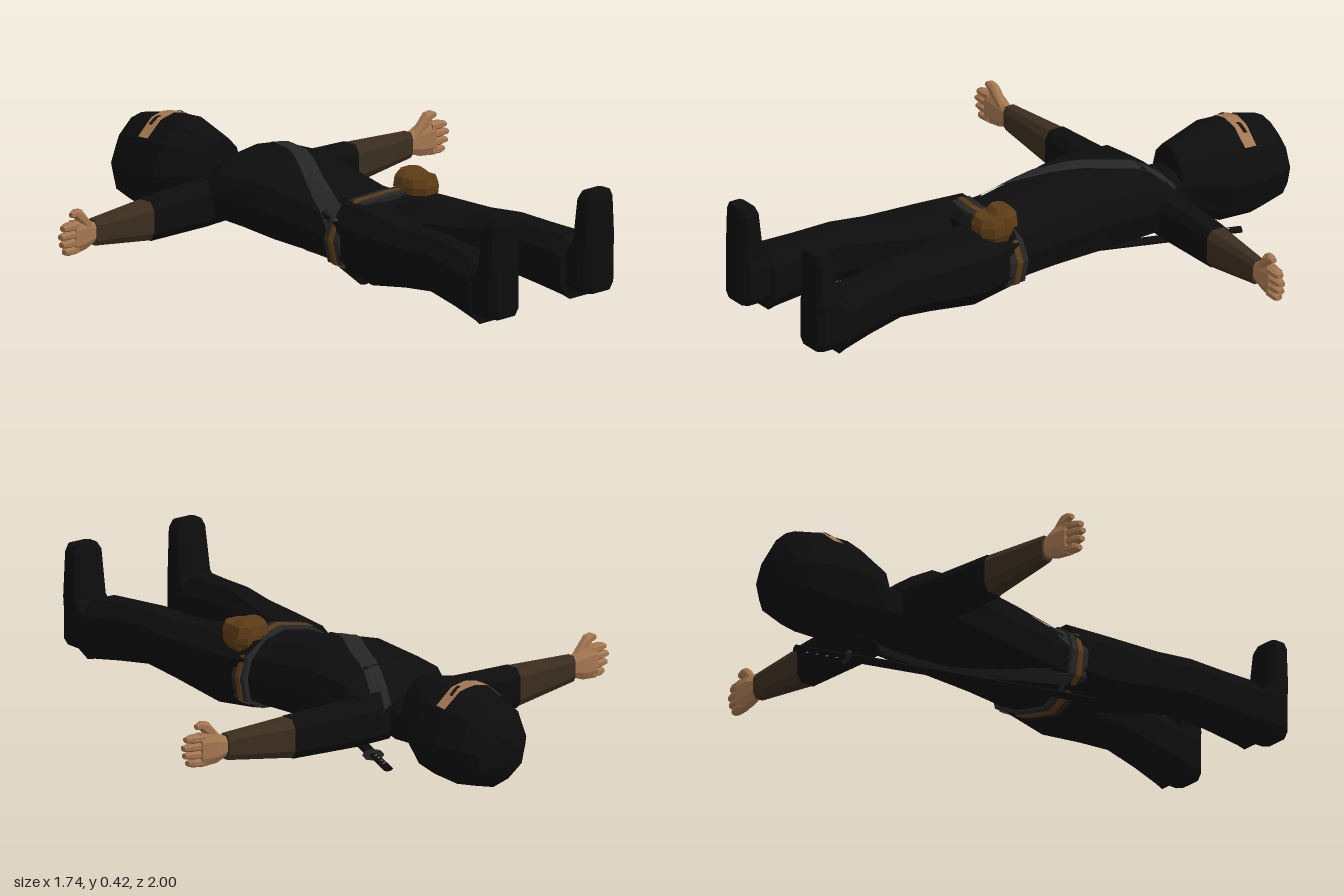
import * as THREE from 'three';

const mat = (color, side = THREE.FrontSide) =>
  new THREE.MeshStandardMaterial({ color, flatShading: true, roughness: 0.9, side });
const cloth = mat(0x0d0d0d), grey = mat(0x262626), brown = mat(0x5c3b16), wrap = mat(0x3b2d20);
const skin = mat(0xa37650), steel = mat(0x999999);
const strapMat = mat(0x262626, THREE.DoubleSide), skinPatch = mat(0xa37650, THREE.DoubleSide);
const eyeMat = mat(0x111111, THREE.DoubleSide);

function add(parent, name, geometry, material) {
  const m = new THREE.Mesh(geometry, material);
  m.name = name;
  parent.add(m);
  return m;
}

// Capped skin over a row of rings of [x, y, z]; turned outward by its signed volume.
function loft(rings) {
  const tris = [], n = rings[0].length;
  for (let i = 0; i + 1 < rings.length; i++) {
    for (let j = 0; j < n; j++) {
      const k = (j + 1) % n, [a, b] = [rings[i], rings[i + 1]];
      tris.push([a[j], a[k], b[k]], [a[j], b[k], b[j]]);
    }
  }
  const cap = (r, flip) => {
    const c = [0, 1, 2].map(q => r.reduce((s, p) => s + p[q], 0) / n);
    r.forEach((p, j) => tris.push(flip ? [c, r[(j + 1) % n], p] : [c, p, r[(j + 1) % n]]));
  };
  cap(rings[0], true);
  cap(rings[rings.length - 1], false);
  const V = p => new THREE.Vector3(...p);
  const volume = tris.reduce((s, [a, b, c]) => s + V(a).dot(V(b).cross(V(c))), 0);
  if (volume < 0) tris.forEach(t => t.reverse());
  return toGeometry(tris);
}

function toGeometry(tris) {
  const g = new THREE.BufferGeometry();
  g.setAttribute('position', new THREE.Float32BufferAttribute(tris.flat(2), 3));
  g.computeVertexNormals();
  return g;
}

// Rectangle with cut corners, as eight [a, b] pairs.
function cutRect(a0, a1, b0, b1, cut = 0.25) {
  const da = (a1 - a0) * cut, db = (b1 - b0) * cut;
  return [[a0 + da, b0], [a1 - da, b0], [a1, b0 + db], [a1, b1 - db],
    [a1 - da, b1], [a0 + da, b1], [a0, b1 - db], [a0, b0 + db]];
}
const alongX = (rows, s, cut) => loft(rows.map(([x, z0, z1, y0, y1]) =>
  cutRect(z0, z1, y0, y1, cut).map(([z, y]) => [s * x, y, z])));
const alongY = (rows, s, cut) => loft(rows.map(([y, x0, x1, z0, z1]) =>
  cutRect(x0, x1, z0, z1, cut).map(([x, z]) => [s * x, y, z])));
const alongZ = (rows, s, cut) => loft(rows.map(([z, x0, x1, y0, y1]) =>
  cutRect(x0, x1, y0, y1, cut).map(([x, y]) => [s * x, y, z])));

// Half outlines from front to back: [share of half width, share of height].
const torsoHalf = [[0, 1], [0.5, 0.95], [0.88, 0.75], [1, 0.5], [0.92, 0.2], [0.55, 0.06], [0, 0]];
const headHalf = [[0, 1], [0.35, 0.97], [0.75, 0.81], [1, 0.5], [0.85, 0.2], [0.45, 0.06], [0, 0]];
// Sections along the body: [z, half width, back y, front y].
const torsoRows = [[-0.515, 0.13, 0.1, 0.235], [-0.47, 0.19, 0.085, 0.275], [-0.4, 0.213, 0.07, 0.325],
  [-0.2, 0.2, 0.05, 0.34], [0, 0.186, 0.045, 0.305], [0.1, 0.183, 0.04, 0.285],
  [0.2, 0.195, 0.035, 0.283], [0.27, 0.18, 0.045, 0.265]];
const headRows = [[-0.565, 0.09, 0.075, 0.308], [-0.72, 0.16, 0.005, 0.345], [-0.84, 0.16, 0, 0.338],
  [-0.94, 0.135, 0.02, 0.315], [-0.98, 0.1, 0.055, 0.255], [-1, 0.045, 0.1, 0.2]];

function bodyRing([z, w, b, t], half) {
  const right = half.slice(1, -1).reverse().map(([u, v]) => [-u, v]);
  return [...half, ...right].map(([u, v]) => [u * w, b + v * (t - b), z]);
}

// Height of the body's front or back surface at a point.
function heightAt(rows, half, x, z, front) {
  let i = 0;
  while (i < rows.length - 2 && (z - rows[i + 1][0]) * (rows[1][0] - rows[0][0]) > 0) i++;
  const f = THREE.MathUtils.clamp((z - rows[i][0]) / (rows[i + 1][0] - rows[i][0]), 0, 1);
  const [, w, b, t] = rows[i].map((q, k) => q + f * (rows[i + 1][k] - q));
  const u = Math.min(Math.abs(x) / w, 1);
  const chain = front ? half.slice(0, 4) : half.slice(3).reverse();
  let k = 0;
  while (k < chain.length - 2 && u > chain[k + 1][0]) k++;
  const [[u0, v0], [u1, v1]] = [chain[k], chain[k + 1]];
  return b + (t - b) * (v0 + (v1 - v0) * (u - u0) / (u1 - u0));
}

// Thin patch laid on the body: point(i, j) gives [x, z] on an nu by nv grid.
function drape(rows, half, nu, nv, point, lift, front = true) {
  const at = (i, j) => {
    const [x, z] = point(i / nu, j / nv);
    return [x, heightAt(rows, half, x, z, front) + (front ? lift : -lift), z];
  };
  const tris = [];
  for (let i = 0; i < nu; i++) for (let j = 0; j < nv; j++) {
    const [a, b, c, d] = [at(i, j), at(i + 1, j), at(i + 1, j + 1), at(i, j + 1)];
    tris.push(front ? [a, c, b] : [a, b, c], front ? [a, d, c] : [a, c, d]);
  }
  return toGeometry(tris);
}

// Belt band dipping to a V at the centre.
function beltBand(halfWidth, grow) {
  const ring = bodyRing([0, 0.192 + grow, 0.037 - grow, 0.283 + grow], torsoHalf);
  return loft([-halfWidth, halfWidth].map(o => ring.map(([x, y]) =>
    [x, y, 0.158 + 0.048 * (1 - Math.abs(x) / 0.2) + o])));
}

function buildSword() {
  const sword = new THREE.Group();
  sword.name = 'sword';
  const start = new THREE.Vector3(-0.15, 0.032, 0.26), end = new THREE.Vector3(0.24, 0.066, -0.69);
  const length = start.distanceTo(end), grip = length * 0.82;
  sword.position.copy(start);
  sword.lookAt(end);
  const rod = (name, r0, r1, from, to, material, sides = 8) => add(sword, name,
    new THREE.CylinderGeometry(r1, r0, to - from, sides).rotateX(Math.PI / 2)
      .scale(1, 0.5, 1).translate(0, 0, (from + to) / 2), material);
  rod('scabbard', 0.018, 0.022, 0, grip, cloth);
  rod('swordGuard', 0.036, 0.036, grip, grip + 0.012, grey);
  rod('swordGrip', 0.016, 0.018, grip + 0.01, length, cloth);
  for (let i = 0; i < 4; i++) for (const s of [-1, 1]) {
    add(sword, 'gripDiamond', new THREE.OctahedronGeometry(0.007).scale(0.8, 0.4, 1)
      .translate(0, s * 0.008, grip + 0.04 + i * 0.034), steel);
  }
  return sword;
}

function buildArm(s) {
  const arm = new THREE.Group();
  arm.name = s > 0 ? 'leftArm' : 'rightArm';
  add(arm, 'sleeve', alongX([[0.08, -0.515, -0.39, 0.09, 0.235], [0.21, -0.51, -0.393, 0.085, 0.226],
    [0.46, -0.488, -0.4, 0.088, 0.222]], s, 0.2), cloth);
  add(arm, 'forearmWrap', alongX([[0.455, -0.485, -0.401, 0.09, 0.22], [0.71, -0.457, -0.408, 0.125, 0.21]], s, 0.2), wrap);
  add(arm, 'palm', alongX([[0.7, -0.448, -0.412, 0.14, 0.2], [0.75, -0.455, -0.406, 0.122, 0.22],
    [0.81, -0.446, -0.401, 0.116, 0.228]], s), skin);
  add(arm, 'thumb', alongX([[0.725, -0.44, -0.41, 0.17, 0.205], [0.775, -0.438, -0.405, 0.21, 0.262],
    [0.8, -0.433, -0.406, 0.238, 0.266], [0.818, -0.428, -0.41, 0.242, 0.258]], s), skin);
  [0.85, 0.863, 0.868, 0.858].forEach((tip, i) => {
    const y = 0.118 + i * 0.027;
    add(arm, 'finger', alongX([[0.795, -0.443, -0.403, y, y + 0.027], [0.835, -0.438, -0.4, y, y + 0.027],
      [tip, -0.428, -0.404, y + 0.004, y + 0.021]], s), skin);
  });
  return arm;
}

function buildLeg(s) {
  const leg = new THREE.Group();
  leg.name = s > 0 ? 'leftLeg' : 'rightLeg';
  add(leg, 'trouserLeg', alongZ([[0.15, 0, 0.186, 0.05, 0.275], [0.31, 0.004, 0.213, 0.035, 0.274],
    [0.5, 0.075, 0.23, 0.075, 0.267], [0.63, 0.105, 0.236, 0.093, 0.277],
    [0.76, 0.115, 0.254, 0.075, 0.268], [0.87, 0.12, 0.278, 0.058, 0.26], [0.9, 0.12, 0.285, 0.05, 0.238]], s), cloth);
  add(leg, 'foot', alongY([[0.085, 0.16, 0.265, 0.89, 0.995], [0.11, 0.145, 0.28, 0.87, 1],
    [0.21, 0.145, 0.28, 0.87, 1], [0.25, 0.15, 0.278, 0.914, 1], [0.4, 0.157, 0.268, 0.93, 1],
    [0.424, 0.17, 0.258, 0.94, 0.995]], s, 0.15), cloth);
  return leg;
}

export function createModel() {
  const model = new THREE.Group();
  model.name = 'lyingFigure';

  // Body and hooded head
  add(model, 'torso', loft(torsoRows.map(r => bodyRing(r, torsoHalf))), cloth);
  add(model, 'neck', alongZ([[-0.48, -0.095, 0.095, 0.08, 0.235], [-0.6, -0.088, 0.088, 0.085, 0.225]], 1), cloth);
  add(model, 'hood', loft(headRows.map(r => bodyRing(r, headHalf))), cloth);

  // Eye opening
  add(model, 'eyeOpening', drape(headRows, headHalf, 12, 2, (u, v) =>
    [-0.118 + 0.236 * u, -0.79 - v * (0.05 - 0.012 * Math.abs(u - 0.5))], 0.004), skinPatch);
  for (const s of [-1, 1]) {
    add(model, 'eye', drape(headRows, headHalf, 3, 1, (u, v) =>
      [s * 0.06 + 0.04 * (u - 0.5), -0.808 - 0.014 * v - 0.006 * s * (u - 0.5)], 0.007), eyeMat);
  }

  // Limbs
  for (const s of [1, -1]) model.add(buildArm(s), buildLeg(s));

  // Diagonal strap, front and back
  const path = new THREE.CatmullRomCurve3([[0.125, -0.515], [0.035, -0.26], [-0.105, 0], [-0.165, 0.16]]
    .map(([x, z]) => new THREE.Vector3(x, 0, z)));
  const strap = (u, v) => {
    const p = path.getPoint(u), t = path.getTangent(u), o = 0.058 * (v - 0.5);
    return [p.x - t.z * o, p.z + t.x * o];
  };
  add(model, 'frontStrap', drape(torsoRows, torsoHalf, 16, 3, strap, 0.006), strapMat);
  add(model, 'backStrap', drape(torsoRows, torsoHalf, 16, 3, strap, 0.004, false), strapMat);

  // Belt and pouch
  add(model, 'belt', beltBand(0.034, 0.01), grey);
  add(model, 'beltTrim', beltBand(0.01, 0.014), brown);
  add(model, 'pouch', alongY([[0.235, 0.09, 0.175, 0.165, 0.25], [0.265, 0.08, 0.19, 0.155, 0.28],
    [0.3, 0.075, 0.192, 0.15, 0.285], [0.325, 0.085, 0.185, 0.16, 0.275]], 1), brown);
  add(model, 'pouchFlap', alongY([[0.29, 0.073, 0.196, 0.142, 0.225], [0.325, 0.078, 0.19, 0.145, 0.225],
    [0.345, 0.095, 0.165, 0.16, 0.21]], 1), brown);

  model.add(buildSword());
  return model;
}
